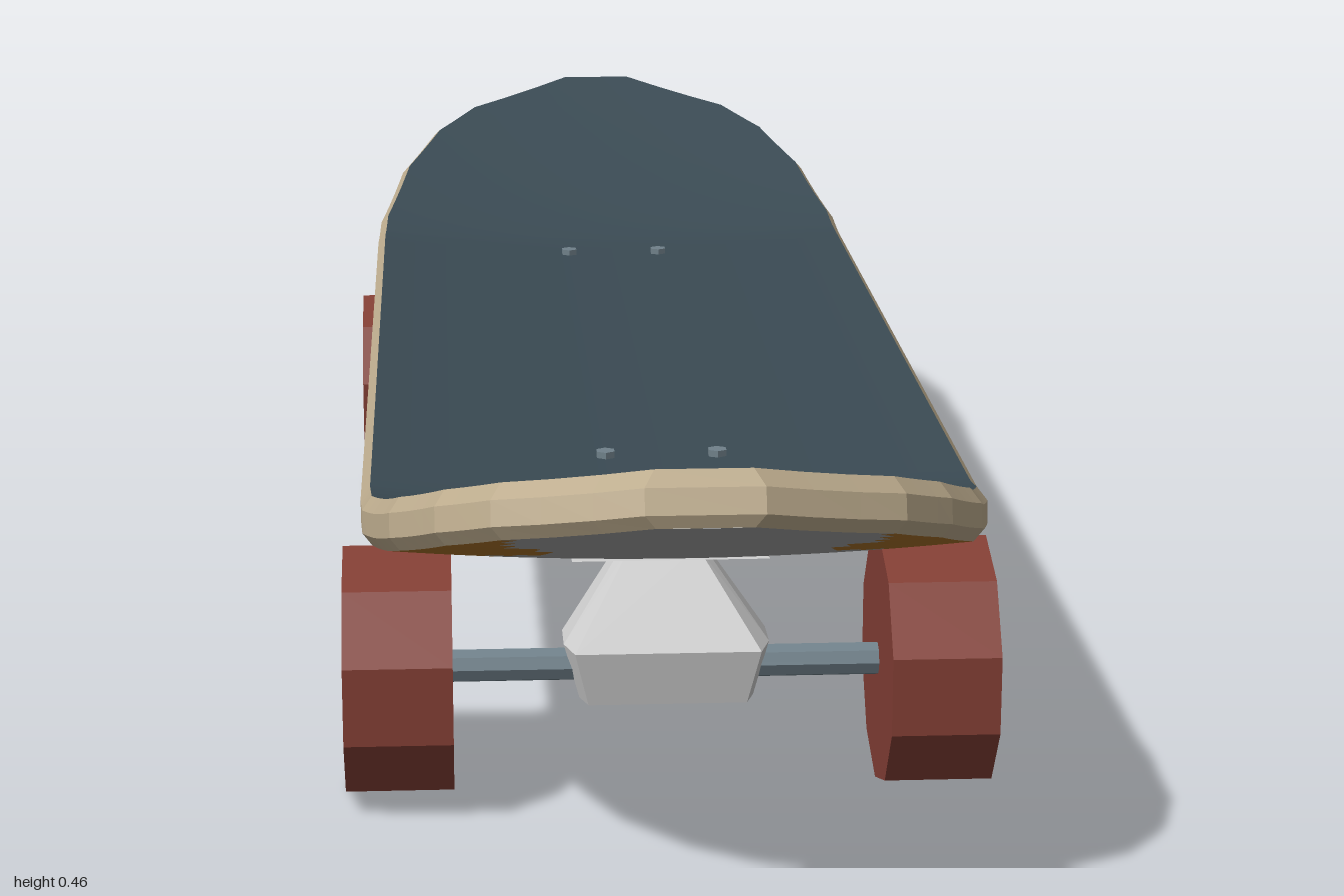
import * as THREE from 'three';
import { ConvexGeometry } from 'three/addons/geometries/ConvexGeometry.js';

const mat = (name, color) => {
  const m = new THREE.MeshStandardMaterial({ color });
  m.name = name;
  return m;
};

export function createModel() {
  const wood = mat('wood', 0xbcab8d);
  const grip = mat('gripTape', 0x3a4a53);
  const grey = mat('undersideGrey', 0xa0a0a0);
  const orange = mat('undersideOrange', 0xa87028);
  const green = mat('undersideGreen', 0x305030);
  const rubber = mat('wheelRed', 0x843f35);
  const steel = mat('steel', 0x70818a);
  const alloy = mat('alloy', 0xcccccc);

  const model = new THREE.Group();
  model.name = 'skateboard';
  const add = (parent, name, geometry, material, x = 0, y = 0, z = 0) => {
    const mesh = new THREE.Mesh(geometry, material);
    mesh.name = name;
    mesh.position.set(x, y, z);
    parent.add(mesh);
    return mesh;
  };
  const flat = (geometry) => {
    const g = geometry.index ? geometry.toNonIndexed() : geometry;
    g.computeVertexNormals();
    return g;
  };

  // Grid surface; pick(x, z) chooses a material group for each cell
  const surface = (rows, cols, point, pick = () => 0) => {
    const pos = [];
    const buckets = [[], [], []];
    for (let i = 0; i <= rows; i++)
      for (let j = 0; j <= cols; j++) pos.push(...point(i, j));
    for (let i = 0; i < rows; i++)
      for (let j = 0; j < cols; j++) {
        const a = i * (cols + 1) + j, b = a + cols + 1;
        const x = (pos[a * 3] + pos[b * 3 + 3]) / 2;
        const z = (pos[a * 3 + 2] + pos[b * 3 + 5]) / 2;
        buckets[pick(x, z)].push(a, b, b + 1, a, b + 1, a + 1);
      }
    const g = new THREE.BufferGeometry();
    g.setAttribute('position', new THREE.Float32BufferAttribute(pos, 3));
    g.setIndex(buckets.flat());
    let start = 0;
    buckets.forEach((b, k) => {
      if (b.length) g.addGroup(start, b.length, k);
      start += b.length;
    });
    g.computeVertexNormals();
    return g;
  };

  // Deck outline: distance from the middle, half width, subdivisions
  const outline = [[0, 0.292, 0], [0.57, 0.292, 18], [0.65, 0.289, 3], [0.79, 0.262, 5],
    [0.88, 0.222, 4], [0.935, 0.175, 3], [1.005, 0.05, 3]];
  const half = [[0, 0.292]];
  for (let k = 1; k < outline.length; k++) {
    const [z0, w0] = outline[k - 1], [z1, w1, n] = outline[k];
    for (let s = 1; s <= n; s++) half.push([z0 + (z1 - z0) * s / n, w0 + (w1 - w0) * s / n]);
  }
  const stations = [...half.slice(1).reverse().map(([z, w]) => [-z, w]), ...half];

  // Point on the deck: upturned ends and a shallow concave
  const deckPoint = ([z, w], u, inset, h) => {
    const t = Math.max(0, (Math.abs(z) - 0.57) / 0.43);
    const x = u * (w - inset);
    const lean = 0.45 * Math.sqrt(t) * h;
    return [x, 0.262 + 0.14 * t ** 1.5 + 0.013 * (x / 0.28) ** 2 + h,
      z * (1 - inset) - Math.sign(z) * lean];
  };

  // Deck: top, painted underside and bevelled rim
  const deck = new THREE.Group();
  deck.name = 'deck';
  model.add(deck);
  const N = stations.length - 1, M = 26;
  const H = 0.045, EDGE = 0.009;
  add(deck, 'gripTop', surface(N, M, (i, j) =>
    deckPoint(stations[i], j * 2 / M - 1, EDGE, H)), grip);

  const paint = (x, z) => {
    const a = Math.abs(x) + 0.018 * Math.sin(z * 47) + 0.012 * Math.sin(z * 23 + 1);
    if (z > 0.93) return 0;
    if (z > 0.6) return a < 0.15 ? 0 : 1;
    if (z > -0.36 && a < 0.27 - (0.4 - z) * 0.28) return 1;
    if (z > 0.4) return 1;
    if (z > -0.6) return 2;
    return z > -0.93 && a < 0.16 - (-0.6 - z) * 0.33 ? 2 : 0;
  };
  add(deck, 'underside', surface(N, M, (i, j) =>
    deckPoint(stations[i], 1 - j * 2 / M, EDGE, 0), paint), [grey, orange, green]);

  const loop = [...stations.map((s) => [s, 1]), ...[...stations].reverse().map((s) => [s, -1])];
  const levels = [[EDGE, 0], [0, 0.012], [0, 0.033], [EDGE, H]];
  add(deck, 'rim', flat(surface(3, loop.length, (i, j) => {
    const [s, u] = loop[j % loop.length];
    return deckPoint(s, u, ...levels[i]);
  })), wood);

  // Shared truck shapes; local -z points to the middle of the board
  const wheelGeo = flat(new THREE.CylinderGeometry(0.124, 0.124, 0.104, 10).rotateY(Math.PI / 2).rotateZ(Math.PI / 2));
  const hubGeo = flat(new THREE.CylinderGeometry(0.055, 0.055, 0.004, 10).rotateZ(Math.PI / 2));
  const axleGeo = flat(new THREE.CylinderGeometry(0.0165, 0.0165, 0.43, 8).rotateZ(Math.PI / 2));
  const kingpinGeo = flat(new THREE.CylinderGeometry(0.021, 0.021, 0.07, 8));
  const boltGeo = flat(new THREE.CylinderGeometry(0.01, 0.01, 0.008, 6));

  const hull = (sections) => {
    const pts = [];
    for (const [y, wide, narrow, z0, z1] of sections)
      for (const s of [-1, 1]) {
        pts.push(new THREE.Vector3(s * narrow, y, z0), new THREE.Vector3(s * narrow, y, z1));
        pts.push(new THREE.Vector3(s * wide, y, z0 * 0.7 + z1 * 0.3), new THREE.Vector3(s * wide, y, z0 * 0.3 + z1 * 0.7));
      }
    return new ConvexGeometry(pts);
  };
  const hangerGeo = hull([
    [0.087, 0.085, 0.077, -0.045, 0.035],
    [0.142, 0.1, 0.09, -0.065, 0.045],
    [0.225, 0.037, 0.033, -0.095, -0.035],
  ]);
  const plateGeo = hull([
    [0.247, 0.095, 0.094, -0.09, 0.08],
    [0.268, 0.075, 0.074, -0.075, 0.065],
  ]);

  // Trucks with wheels, front and rear mirrored
  for (const [name, z, turn] of [['frontTruck', 0.5, 0], ['rearTruck', -0.57, Math.PI]]) {
    const truck = new THREE.Group();
    truck.name = name;
    truck.position.z = z;
    truck.rotation.y = turn;
    model.add(truck);
    add(truck, 'hanger', hangerGeo, alloy);
    add(truck, 'basePlate', plateGeo, alloy);
    add(truck, 'axle', axleGeo, steel, 0, 0.118, 0);
    add(truck, 'kingpin', kingpinGeo, steel, 0, 0.232, -0.066).rotation.x = -0.3;
    for (const s of [-1, 1]) {
      add(truck, 'wheel', wheelGeo, rubber, s * 0.26, 0.118, 0);
      add(truck, 'hub', hubGeo, steel, s * 0.3115, 0.118, 0);
      for (const dz of [-0.07, 0.06])
        add(truck, 'bolt', boltGeo, steel, s * 0.055, 0.31, dz);
    }
  }
  return model;
}
